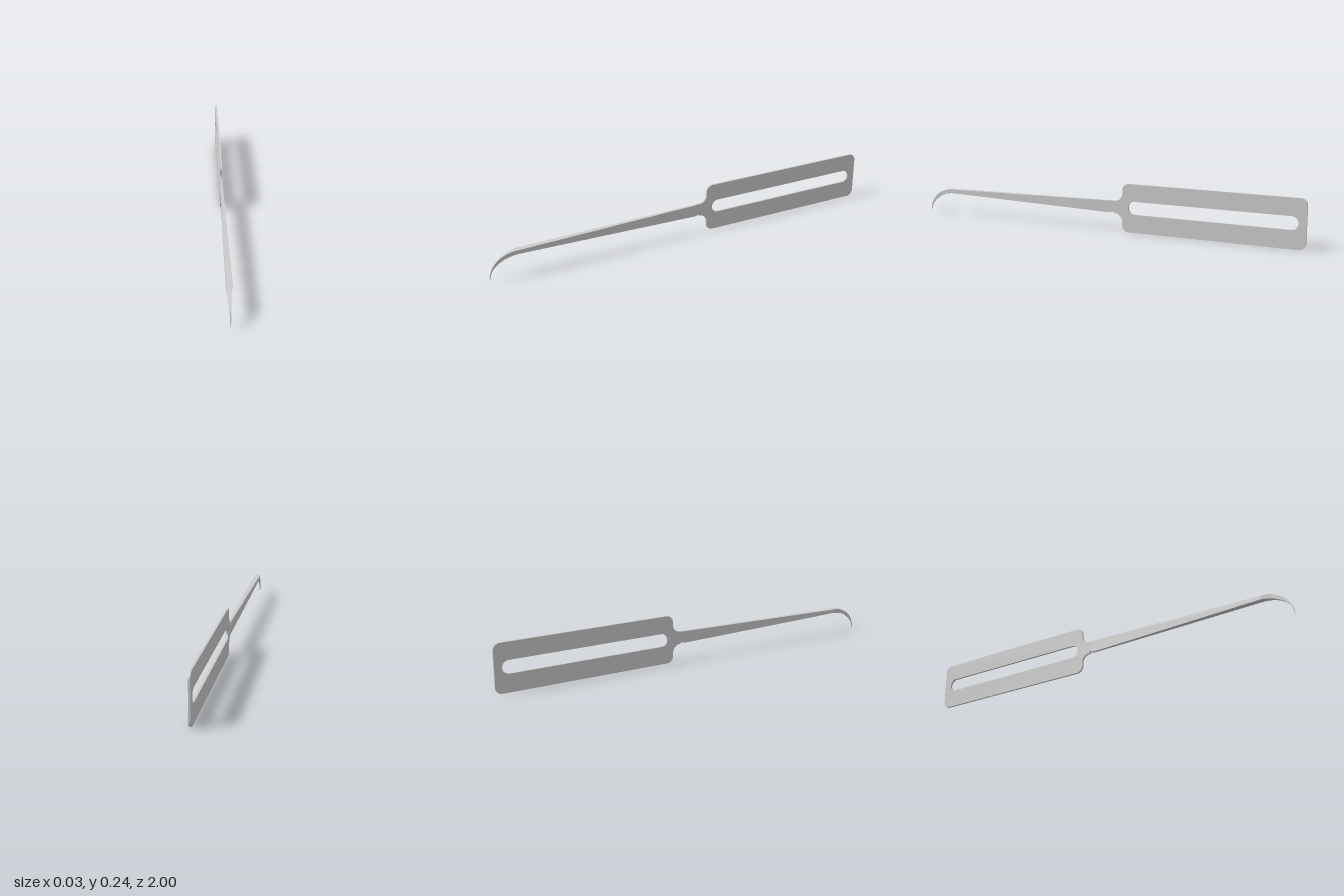
import * as THREE from 'three';

const material = () => new THREE.MeshStandardMaterial({ color: 0xcccccc, flatShading: true });

// Flat slotted handle, drawn with u = -z and v = y
function handleGeometry() {
  const s = new THREE.Shape();
  const bottom = 0, top = 0.236, front = 0.107, back = 1, r = 0.033, f = 0.04;
  const q = Math.PI / 2;
  s.moveTo(0, 0.091);
  s.absarc(front - f, 0.088 - f, f, q, 0, true);
  s.absarc(front + r, bottom + r, r, 2 * q, 3 * q, false);
  s.absarc(back - r, bottom + r, r, -q, 0, false);
  s.absarc(back - r, top - r, r, 0, q, false);
  s.absarc(front + r, top - r, r, q, 2 * q, false);
  s.absarc(front - f, 0.149 + f, f, 0, -q, true);
  s.lineTo(0, 0.147);
  s.closePath();

  // Long slot with round ends
  const slot = new THREE.Path();
  const h = 0.032, mid = 0.12;
  slot.absarc(0.137 + h, mid, h, q, 3 * q, false);
  slot.absarc(0.963 - h, mid, h, -q, q, false);
  slot.closePath();
  s.holes.push(slot);

  const g = new THREE.ExtrudeGeometry(s, { depth: 0.01, bevelEnabled: false, curveSegments: 10 });
  return g.translate(0, 0, -0.005).rotateY(q);
}

// Loft of rectangular sections; each is { top: [z, y], low: [z, y], w: half width }
function loft(sections) {
  const rings = sections.map(({ top, low, w }) => [
    [-w, low[1], low[0]], [w, low[1], low[0]], [w, top[1], top[0]], [-w, top[1], top[0]],
  ]);
  const pos = [];
  const quad = (a, b, c, d) => pos.push(...a, ...b, ...c, ...a, ...c, ...d);
  for (let i = 0; i < rings.length - 1; i++) {
    const a = rings[i], b = rings[i + 1];
    for (let k = 0; k < 4; k++) {
      const n = (k + 1) % 4;
      quad(a[k], a[n], b[n], b[k]);
    }
  }
  const first = rings[0], last = rings[rings.length - 1];
  quad(first[3], first[2], first[1], first[0]);
  quad(last[0], last[1], last[2], last[3]);
  const g = new THREE.BufferGeometry();
  g.setAttribute('position', new THREE.Float32BufferAttribute(pos, 3));
  g.computeVertexNormals();
  return g;
}

export function createModel() {
  const group = new THREE.Group();
  const add = (name, geometry) => {
    const mesh = new THREE.Mesh(geometry, material());
    mesh.name = name;
    group.add(mesh);
  };

  add('slottedHandle', handleGeometry());

  // Shank starts inside the handle and gets thicker sideways as it gets shallower
  add('shank', loft([
    { top: [-0.125, 0.13], low: [-0.125, 0.108], w: 0.0052 },
    { top: [-0.04, 0.148], low: [-0.04, 0.0895], w: 0.0061 },
    { top: [0.86, 0.132], low: [0.845, 0.113], w: 0.0146 },
  ]));

  // Hooked tip: two quarter ellipses that close in on each other
  const hook = [];
  const steps = 14, tipY = 0.011;
  for (let i = 0; i <= steps; i++) {
    const t = i / steps, a = t * Math.PI / 2;
    hook.push({
      top: [0.86 + 0.14 * Math.sin(a), tipY + (0.132 - tipY) * Math.cos(a)],
      low: [0.845 + 0.152 * Math.sin(a), tipY + (0.113 - tipY) * Math.cos(a)],
      w: 0.0016 + 0.013 * (1 - t) ** 1.8,
    });
  }
  add('hookedTip', loft(hook));
  return group;
}
